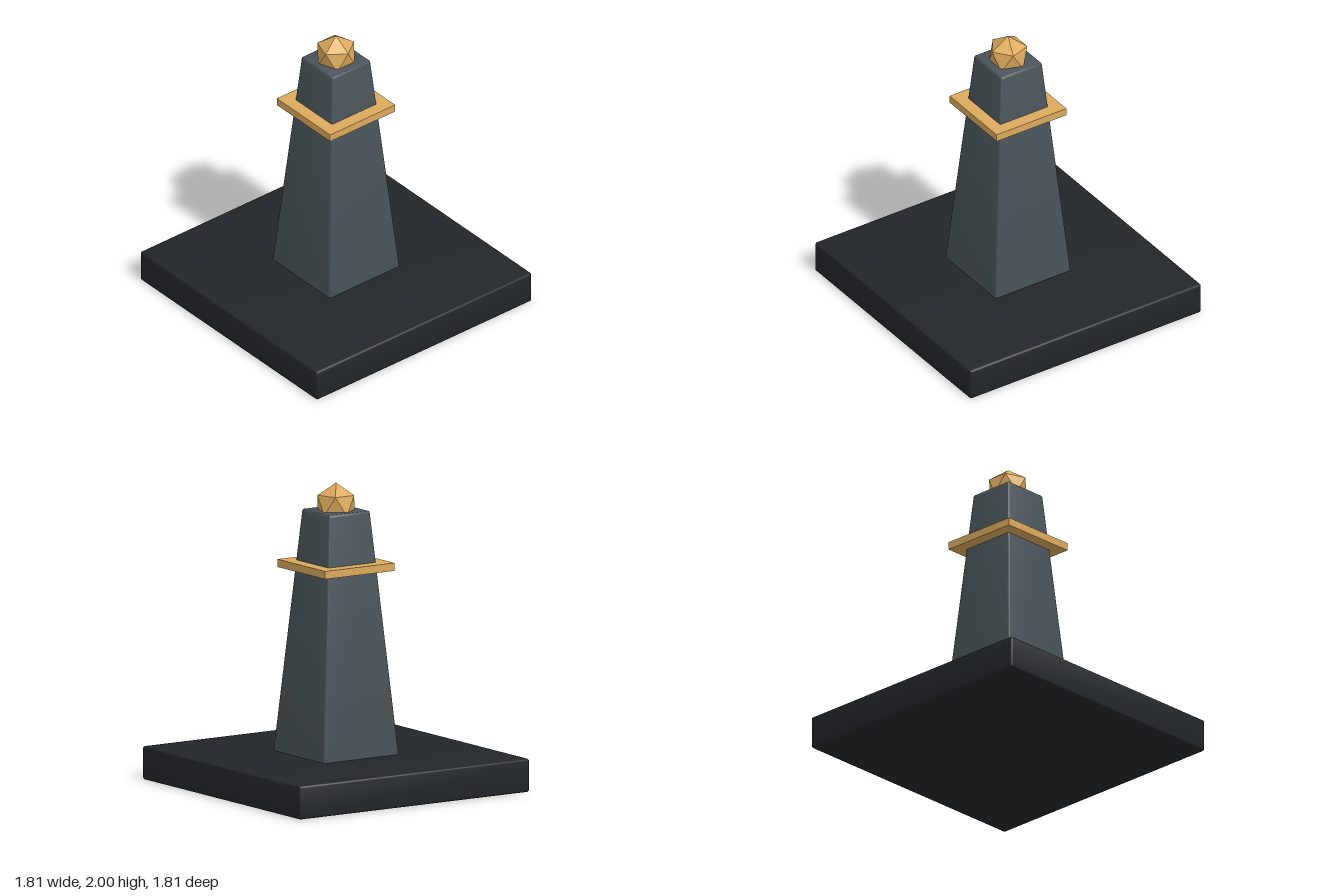
import * as THREE from 'three';
import { RoundedBoxGeometry } from 'three/addons/geometries/RoundedBoxGeometry.js';
import { toCreasedNormals } from 'three/addons/utils/BufferGeometryUtils.js';

const mat = (color, flatShading = false) => new THREE.MeshStandardMaterial({ color, flatShading });

// Bevelled block standing on y0, its sides leaning in to topScale at the top
function block(halfWidth, y0, y1, bevel, topScale = 1) {
  const h = y1 - y0;
  const geo = new RoundedBoxGeometry(halfWidth * 2, h, halfWidth * 2, 2, bevel);
  geo.translate(0, h / 2, 0);
  const p = geo.attributes.position;
  for (let i = 0; i < p.count; i++) {
    const s = THREE.MathUtils.lerp(1, topScale, p.getY(i) / h);
    p.setX(i, p.getX(i) * s);
    p.setZ(i, p.getZ(i) * s);
  }
  geo.translate(0, y0, 0);
  return toCreasedNormals(geo, 0.6);
}

export function createModel() {
  const model = new THREE.Group();
  model.name = 'obelisk';
  const add = (name, geo, material) => {
    const mesh = new THREE.Mesh(geo, material);
    mesh.name = name;
    model.add(mesh);
  };
  const gold = mat(0xdcaa5c, true);

  // Square plinth
  add('base', block(0.905, 0, 0.22, 0.015), mat(0x22262a));

  // Tapered shaft, running down through the plinth
  add('shaft', block(0.315, 0.001, 1.82, 0.018, 0.505), mat(0x4a545a));

  // Flat collar near the top
  const collar = new THREE.BoxGeometry(0.546, 0.052, 0.546);
  collar.translate(0, 1.456, 0);
  add('collar', collar, gold);

  // Faceted finial, one corner pointing straight up
  const finial = new THREE.IcosahedronGeometry(0.14, 0);
  finial.rotateZ(-Math.atan(2 / (1 + Math.sqrt(5))));
  finial.translate(0, 1.86, 0);
  add('finial', finial, gold);

  return model;
}
